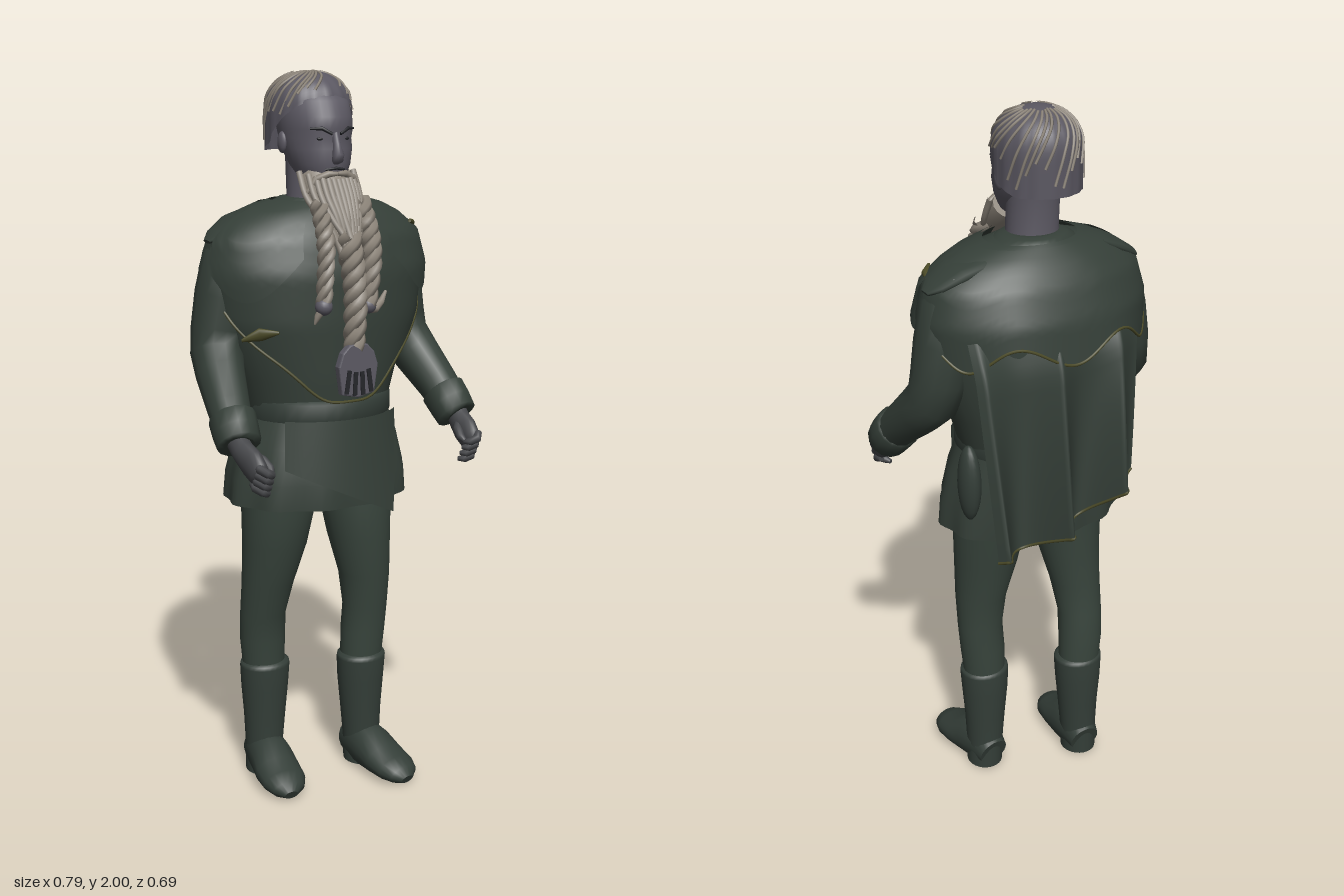
import * as THREE from 'three';

const V = (x, y, z) => new THREE.Vector3(x, y, z);
const lerp = THREE.MathUtils.lerp;
const TAU = Math.PI * 2;

function surface(pos, idx) {
  const g = new THREE.BufferGeometry().setFromPoints(pos);
  g.setIndex(idx);
  g.computeVertexNormals();
  return g;
}
// Skin closed loops together and cap both ends
function skin(rings) {
  const n = rings[0].length, pos = rings.flat(), idx = [];
  for (let i = 0; i < rings.length - 1; i++) for (let j = 0; j < n; j++) {
    const a = i * n + j, b = i * n + (j + 1) % n;
    idx.push(a, a + n, b, b, a + n, b + n);
  }
  [rings[0], rings[rings.length - 1]].forEach((ring, end) => {
    const s = pos.length, c = V(0, 0, 0);
    ring.forEach(p => c.addScaledVector(p, 1 / n));
    pos.push(...ring, c);
    for (let j = 0; j < n; j++) {
      const a = s + j, b = s + (j + 1) % n;
      idx.push(s + n, end ? b : a, end ? a : b);
    }
  });
  return surface(pos, idx);
}
// Horizontal ellipses, bottom to top: [y, cx, cz, rx, rz]
const stack = (rows, n = 28, ripple = () => 1) => skin(rows.map(([y, cx, cz, rx, rz]) =>
  Array.from({ length: n }, (_, j) => {
    const t = j / n * TAU, k = ripple(t, y);
    return V(cx + Math.cos(t) * rx * k, y, cz + Math.sin(t) * rz * k);
  })));
// Ellipses square to a path: [x, y, z, r1, r2]
function limb(rows, n = 14) {
  const c = rows.map(r => V(r[0], r[1], r[2]));
  const u = Math.abs(c[1].clone().sub(c[0]).normalize().x) > 0.75 ? V(0, 0, 1) : V(1, 0, 0);
  return skin(rows.map((r, i) => {
    const t = c[Math.min(i + 1, c.length - 1)].clone().sub(c[Math.max(i - 1, 0)]).normalize();
    u.addScaledVector(t, -u.dot(t)).normalize();
    const v = u.clone().cross(t);
    return Array.from({ length: n }, (_, j) => c[i].clone().addScaledVector(u, Math.cos(j / n * TAU) * r[3])
      .addScaledVector(v, Math.sin(j / n * TAU) * (r[4] ?? r[3])));
  }));
}
// Open sheet from f(u, v)
function sheet(f, nu, nv) {
  const pos = [], idx = [];
  for (let i = 0; i <= nv; i++) for (let j = 0; j <= nu; j++) pos.push(f(j / nu, i / nv));
  for (let i = 0; i < nv; i++) for (let j = 0; j < nu; j++) {
    const a = i * (nu + 1) + j, b = a + nu + 1;
    idx.push(a, b, a + 1, a + 1, b, b + 1);
  }
  return surface(pos, idx);
}
const tube = (pts, r, seg = 14) => new THREE.TubeGeometry(new THREE.CatmullRomCurve3(pts), seg, r, 6);
const edge = f => tube(Array.from({ length: 60 }, (_, i) => f(i / 59, 1)), .004, 120);

// Torso profile shared by the tunic, capelet and lapels: [y, rx, rz]
const PROFILE = [[1.08, .2, .17], [1.2, .235, .18], [1.35, .29, .185], [1.48, .305, .18], [1.57, .285, .155], [1.62, .225, .125], [1.65, .165, .1], [1.665, .1, .08]];
function bodyPoint(t, y, off) {
  let i = 0;
  while (i < PROFILE.length - 2 && y > PROFILE[i + 1][0]) i++;
  const [a, b] = [PROFILE[i], PROFILE[i + 1]], k = (y - a[0]) / (b[0] - a[0]);
  return V(Math.cos(t) * (lerp(a[1], b[1], k) + off), y + off * 0.3, -0.005 + Math.sin(t) * (lerp(a[2], b[2], k) + off));
}

export function createModel() {
  const [cloth, hose, leather, skinM, hairM, strand, trim, hand, metal, dark] = [
    ['dark green cloth', 0x353f38], ['green trousers', 0x38443c], ['green leather', 0x343e38], ['grey skin', 0x5c5963], ['grey hair', 0x5a5761],
    ['tan hair strands', 0x8c8479], ['olive trim', 0x4c4b28], ['dark hands', 0x46474a], ['grey metal', 0x5c5a64], ['dark details', 0x25262a],
  ].map(([name, color]) => Object.assign(new THREE.MeshStandardMaterial({ color }), { name }));
  cloth.side = hairM.side = THREE.DoubleSide;
  const root = new THREE.Group();
  const add = (name, geo, m) => {
    const mesh = new THREE.Mesh(geo, m);
    mesh.name = name;
    root.add(mesh);
    return mesh;
  };
  const ball = (name, m, p, s) => add(name, new THREE.SphereGeometry(1, 18, 12).scale(...s).translate(...p), m);

  // Legs, boots and feet; the left leg stands a little forward
  for (const s of [1, -1]) {
    const z = s > 0 ? 0.035 : -0.05, side = s > 0 ? 'left' : 'right';
    add(side + 'Trouser', stack([[.3, s * .137, z - .01, .06, .055], [.42, s * .143, z - .008, .066, .06], [.5, s * .147, z * .9, .066, .062],
      [.6, s * .141, z * .7 + .01, .074, .074], [.72, s * .127, z * .4 + .012, .091, .092], [.82, s * .12, z * .2 + .01, .102, .104], [.95, s * .112, 0, .106, .11]]), hose);
    add(side + 'Boot', stack([[.004, s * .142, z - .008, .052, .056], [.1, s * .14, z - .008, .055, .056], [.18, s * .138, z - .008, .061, .058],
      [.27, s * .137, z - .008, .069, .064], [.335, s * .137, z - .006, .073, .066], [.345, s * .137, z - .006, .071, .064], [.35, s * .137, z - .006, .06, .055]]), leather);
    const foot = limb([[.137, .05, -.055, .045, .05], [.14, .065, -.01, .057, .07], [.146, .057, .05, .062, .066],
      [.154, .044, .1, .066, .048], [.16, .036, .155, .063, .037], [.165, .029, .19, .047, .029], [.167, .02, .208, .02, .015]].map(([x, y, fz, ...r]) => [x * s, y, fz + z, ...r]), 18);
    const p = foot.attributes.position;
    for (let i = 0; i < p.count; i++) p.setY(i, Math.max(0, p.getY(i)));
    foot.computeVertexNormals();
    add(side + 'Foot', foot, leather);
  }
  // Tunic body, skirt, belt and pouch
  add('tunic', stack(PROFILE.map(([y, rx, rz]) => [y, 0, -.005, rx, rz]), 36), cloth);
  add('skirt', stack([[.86, -.006, .014, .266, .2], [.93, -.006, .014, .26, .2], [1.02, -.004, .01, .237, .19], [1.1, 0, 0, .205, .178], [1.13, 0, 0, .195, .17]], 72,
    (t, y) => 1 + .025 * Math.sin(t * 11) * (1.13 - y) / .27), cloth);
  add('belt', stack([[1.085, 0, 0, .2, .175], [1.092, 0, 0, .211, .19], [1.14, 0, 0, .211, .19], [1.148, 0, 0, .2, .175]], 36), leather);
  add('skirtFlap', sheet((u, v) => {
    const x = lerp(lerp(-.17, .17, u), lerp(-.18, .13, u), v);
    const y = lerp(1.1, lerp(.97, .825, u), v), k = (1.1 - y) / .24;
    return V(x, y, .013 + lerp(.19, .213, k) * Math.sqrt(Math.max(0, 1 - (x / lerp(.225, .275, k)) ** 2)));
  }, 16, 8), cloth);
  ball('hipPouch', leather, [.235, 1.04, -.09], [.03, .11, .04]);

  // Arms with cuffs and curled hands
  for (const s of [1, -1]) {
    const part = (name, m, rows) => add((s > 0 ? 'left' : 'right') + name, limb(rows.map(([x, ...r]) => [x * s, ...r])), m);
    const dz = s > 0 ? 0 : .025;
    part('Sleeve', cloth, [[.215, 1.58, -.015, .055, .06], [.236, 1.52, -.018, .084, .084], [.26, 1.42, -.022, .083, .085], [.28, 1.33, -.022, .076, .08],
      [.293, 1.27, -.01, .071, .075], [.308, 1.22, .04, .065, .068], [.325, 1.15, .12, .057, .058], [.336, 1.09, .185, .05, .05]]);
    part('Cuff', cloth, [[.327, 1.135, .14, .05, .05], [.328, 1.13, .145, .062, .064], [.333, 1.1, .175, .061, .062], [.336, 1.075, .2, .058, .058], [.337, 1.072, .203, .04, .04]]);
    part('Palm', hand, [[.34, 1.085, .19, .028, .03], [.338, 1.06, .215 + dz / 2, .029, .034], [.335, 1.04, .245 + dz, .027, .042], [.332, 1.02, .275 + dz, .023, .038], [.33, 1.01, .287 + dz, .012, .025]]);
    for (let f = 0; f < 4; f++) {
      const y = 1.042 - f * .018, z = .275 + dz - f * .009;
      part('Finger', hand, [[.337, y, z, .008], [.34, y - .004, z + .022, .012], [.328, y - .012, z + .036, .012], [.312, y - .02, z + .029, .011], [.303, y - .023, z + .013, .006]]);
    }
    part('Thumb', hand, [[.325, 1.06, .225 + dz, .011], [.307, 1.045, .25 + dz, .013], [.3, 1.03, .275 + dz, .011], [.303, 1.022, .29 + dz, .006]]);
  }
  // Capelet: low rounded front, short sides, medium back with a mantle
  const hem = t => 1.42 - (Math.sin(t) > 0 ? .285 * Math.sin(t) ** 1.5 : -.06 * Math.sin(t)) + .006 * Math.sin(t * 9);
  const capelet = (u, v) => bodyPoint(-u * TAU, lerp(1.662, hem(-u * TAU), v), .016);
  add('capelet', sheet(capelet, 72, 20), cloth);
  add('capeletTrim', edge(capelet), trim);
  for (const s of [1, -1]) {
    add('lapel', sheet((u, v) => {
      const p = bodyPoint(lerp(1.15, .1, u), lerp(1.662, lerp(1.52, 1.5, u) - .1 * Math.sin(u * Math.PI), v), .022 + .008 * v);
      return V(p.x * s, p.y, p.z);
    }, 14, 10), cloth);
    add('shoulderPoint', limb([[s * .17, 1.635, -.02, .075, .016], [s * .23, 1.612, -.02, .08, .02], [s * .285, 1.582, -.02, .055, .014], [s * .312, 1.565, -.02, .02, .006]]), cloth);
  }
  const mantle = (u, v) => bodyPoint(-u * Math.PI, lerp(1.655, 1.4 + .03 * Math.sin(u * 22), v), .02 + .032 * v * Math.sin(u * Math.PI));
  add('backMantle', sheet(mantle, 48, 14), cloth);
  add('mantleTrim', edge(mantle), trim);
  add('collar', stack([[1.64, 0, -.01, .135, .1], [1.66, -.003, -.012, .115, .095], [1.672, -.006, -.01, .09, .08], [1.675, -.006, -.01, .07, .06]]), cloth);
  add('leafBrooch', limb([[-.275, 1.32, .1, .004], [-.235, 1.337, .128, .01, .018], [-.195, 1.342, .155, .004]]), trim);
  add('shoulderLeaf', limb([[.29, 1.585, .01, .004], [.275, 1.592, .045, .012, .01], [.25, 1.6, .08, .004]]), trim);

  // Long cape with pointed folds, gathered higher on the right
  const cape = (u, s) => {
    const wave = 1 - Math.abs(Math.sin(Math.PI * (u - .18) / .39));
    const x = lerp(lerp(-.25, .26, u), lerp(-.2, .255, u), s);
    const depth = .135 - .06 * Math.abs(u - .57);
    return V(x, lerp(1.61, .865 + .05 * wave + .16 * (1 - u) ** 2, s), -.155 - .055 * Math.min(1, s * 3) - s * depth * wave + 1.2 * x * x * (1 - s));
  };
  add('cape', sheet(cape, 80, 20), cloth);
  add('capeTrim', edge(cape), trim);

  // Head, face and neck
  const hx = -.012;
  add('neck', stack([[1.6, hx, 0, .08, .075], [1.68, hx, .005, .07, .066], [1.78, hx, 0, .07, .07]]), skinM);
  add('head', stack([[1.7, hx, .065, .035, .045], [1.72, hx, .055, .058, .07], [1.76, hx, .042, .078, .09], [1.8, hx, .027, .089, .106], [1.825, hx, .018, .091, .108],
    [1.85, hx, .016, .094, .118], [1.88, hx, .01, .095, .12], [1.92, hx, 0, .09, .113], [1.95, hx, -.01, .07, .083], [1.97, hx, -.015, .045, .055]], 32), skinM);
  add('nose', limb([[hx, 1.845, .122, .008, .008], [hx, 1.81, .132, .01, .012], [hx, 1.785, .141, .015, .016], [hx, 1.772, .136, .016, .012], [hx, 1.765, .128, .01, .006]]), skinM);
  add('mouth', limb([[hx - .028, 1.748, .123, .003], [hx, 1.752, .133, .004], [hx + .028, 1.748, .123, .003]]), dark);
  for (const s of [1, -1]) {
    ball('eye', dark, [hx + s * .036, 1.826, .113], [.012, .005, .006]);
    add('brow', limb([[hx + s * .012, 1.838, .131, .004], [hx + s * .038, 1.852, .124, .005], [hx + s * .064, 1.851, .106, .003]]), dark);
    ball('ear', skinM, [hx + s * .093, 1.815, .01], [.011, .028, .018]);
    add('moustache', limb([[hx, 1.738, .136, .005], [hx + s * .025, 1.738, .134, .009], [hx + s * .055, 1.725, .122, .01], [hx + s * .078, 1.69, .115, .005]]), strand);
  }
  // Swept hair cap with raised strands
  const hair = (t, s, k = 1) => {
    const f = Math.sin(t), low = f > 0 ? 1.815 + .115 * f ** .7 : 1.815 - .025 * Math.min(1, -f * 2);
    const y = 1.996 - (1.996 - low) * s * s, h = THREE.MathUtils.clamp((y - 1.87) / .126, 0, 1);
    const r = Math.sqrt(1 - h ** 3) * k * (1 + .012 * Math.sin(t * 17));
    return V(hx + Math.cos(t) * r * .114, y, -.018 + Math.sin(t) * r * .122);
  };
  add('hair', sheet((u, v) => hair(-u * TAU, v), 64, 18), hairM);
  for (let i = 0; i < 30; i++) {
    const t0 = i / 30 * TAU, len = .85 + .1 * Math.sin(i * 5);
    if (Math.sin(t0 + .9) < .93) add('hairStrand', tube([.2, .35, .55, .75, 1].map(s => hair(t0 + s * .9, s * len, 1.01)), .0038), strand);
  }
  // Beard mass with combed strands
  add('beard', limb([[hx, 1.725, .07, .076, .05], [hx, 1.69, .105, .078, .05], [hx, 1.65, .14, .066, .042], [hx, 1.6, .17, .048, .032], [hx, 1.54, .2, .022, .02]], 20), strand);
  for (let i = 0; i < 13; i++) {
    const a = i / 6 - 1, c = Math.sqrt(1 - a * a * .85);
    add('beardStrand', tube([V(hx + a * .081, 1.722 + .02 * a * a, .04 + .1 * c), V(hx + a * .08, 1.68, .085 + .08 * c),
      V(hx + a * .06, 1.63, .135 + .055 * c), V(hx + a * .025, 1.55 + .03 * Math.sin(i * 4), .19 + .025 * c)], .009), strand);
  }
  // Braids: three strands wound round a path, then beads and loose tips
  for (const [r, ...pts] of [[.015, V(-.07, 1.67, .14), V(-.082, 1.56, .2), V(-.095, 1.42, .212)], [.018, V(.05, 1.67, .14), V(.052, 1.56, .2), V(.03, 1.41, .222)],
    [.02, V(-.012, 1.59, .19), V(-.01, 1.45, .225), V(-.018, 1.3, .235)]]) {
    const path = new THREE.CatmullRomCurve3(pts);
    for (let k = 0; k < 3; k++) add('braid', tube(Array.from({ length: 40 }, (_, i) => {
      const s = i / 39, a = (s * 2.6 + k / 3) * TAU, w = r * (1 - .35 * s);
      return path.getPoint(s).add(V(Math.cos(a) * w, 0, Math.sin(a) * w));
    }), r * .85, 60), strand);
  }
  ball('braidBead', metal, [-.096, 1.41, .213], [.023, .023, .023]);
  ball('braidBead', metal, [.032, 1.405, .222], [.021, .021, .021]);
  add('braidTip', limb([[.03, 1.395, .222, .011], [.055, 1.395, .218, .012], [.08, 1.41, .208, .009], [.1, 1.435, .198, .004]]), strand);
  add('braidTip', limb([[-.1, 1.405, .213, .012], [-.112, 1.385, .21, .009], [-.118, 1.365, .205, .003]]), strand);

  // Forked beard clasp
  const shape = new THREE.Shape([[-.045, -.06], [-.055, .01], [-.044, .043], [-.025, .062], [0, .068], [.025, .062], [.044, .043], [.055, .01], [.045, -.06], [0, -.07]].map(p => new THREE.Vector2(...p)));
  add('beardClasp', new THREE.ExtrudeGeometry(shape, { depth: .016, bevelSize: .004, bevelThickness: .004, bevelSegments: 2 }), metal).position.set(-.015, 1.245, .235);
  for (let i = 0; i < 4; i++) {
    const slot = add('claspSlot', new THREE.BoxGeometry(.012, .062, .004), dark);
    slot.position.set(-.048 + i * .022, 1.215 - (i % 3 ? .006 : 0), .256);
    slot.rotation.z = (i - 1.5) * .1;
  }
  return root;
}
